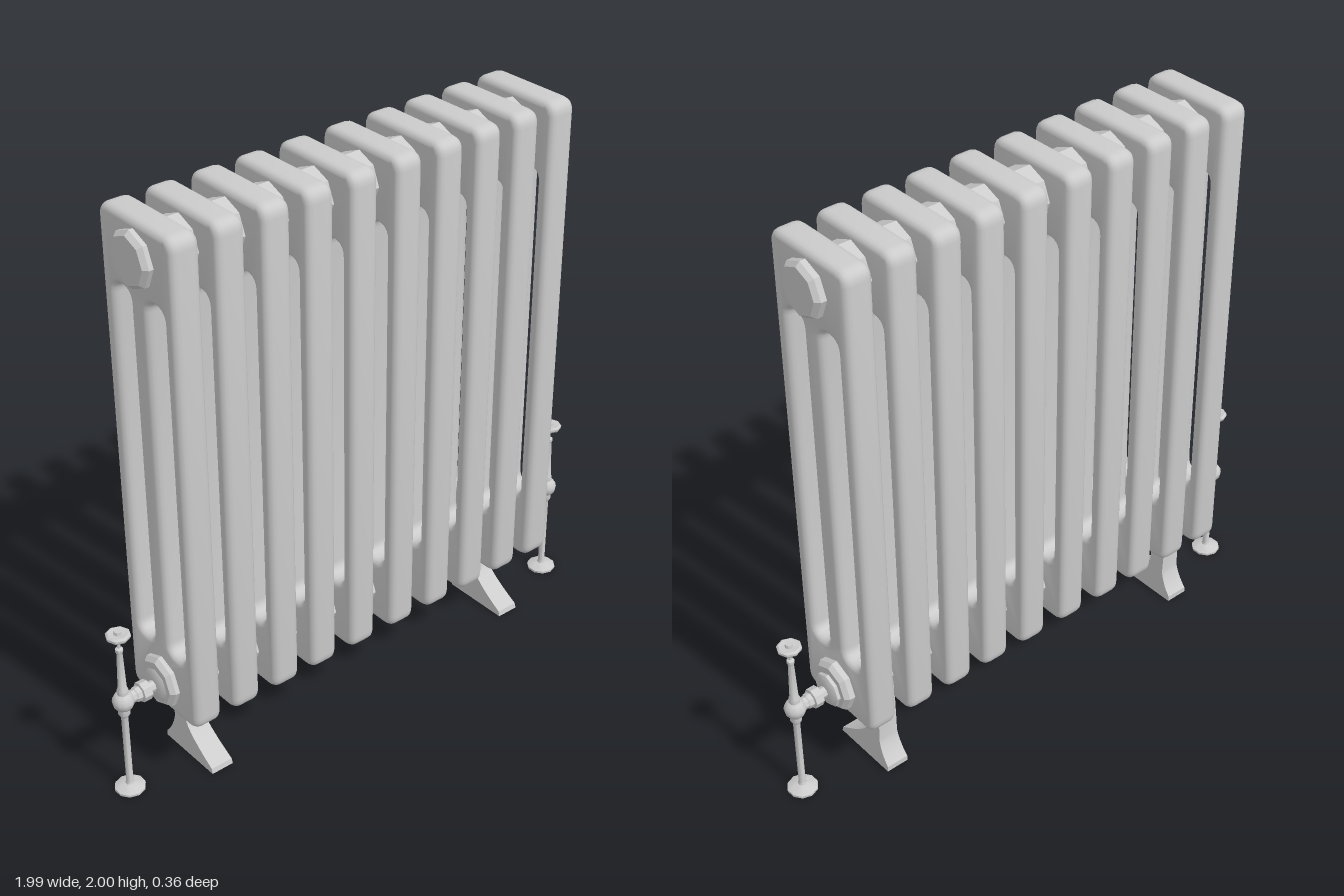
import * as THREE from 'three';
import { toCreasedNormals } from 'three/addons/utils/BufferGeometryUtils.js';

const material = new THREE.MeshStandardMaterial({ color: 0xcccccc });
const v2 = ([x, y]) => new THREE.Vector2(x, y);

function part(name, geometry, crease = 0.6) {
  const mesh = new THREE.Mesh(toCreasedNormals(geometry, crease), material);
  mesh.name = name;
  return mesh;
}

// Turned part around y; the profile is [radius, height] pairs from bottom to top.
function turned(name, profile, sides, crease) {
  return part(name, new THREE.LatheGeometry(profile.map(v2), sides), crease);
}

// Rounded rectangle traced into a Shape or Path.
function roundedRect(path, x0, y0, x1, y1, r) {
  path.moveTo(x0 + r, y0);
  path.lineTo(x1 - r, y0);
  path.quadraticCurveTo(x1, y0, x1, y0 + r);
  path.lineTo(x1, y1 - r);
  path.quadraticCurveTo(x1, y1, x1 - r, y1);
  path.lineTo(x0 + r, y1);
  path.quadraticCurveTo(x0, y1, x0, y1 - r);
  path.lineTo(x0, y0 + r);
  path.quadraticCurveTo(x0, y0, x0 + r, y0);
  return path;
}

// Three-column section: rounded plate with two long slots and soft edges.
function sectionGeometry() {
  const shape = roundedRect(new THREE.Shape(), -0.178, 0.26, 0.178, 2, 0.045);
  for (const z of [-0.082, 0.082]) {
    shape.holes.push(roundedRect(new THREE.Path(), z - 0.04, 0.5, z + 0.04, 1.76, 0.038));
  }
  const geo = new THREE.ExtrudeGeometry(shape, {
    depth: 0.05, bevelEnabled: true, bevelThickness: 0.025, bevelSize: 0.02,
    bevelOffset: -0.02, bevelSegments: 3, curveSegments: 5,
  });
  return geo.translate(0, 0, -0.025).rotateY(-Math.PI / 2);
}

// Cast foot: slim leg with a saddle on top and a flared toe.
function footGeometry() {
  const shape = new THREE.Shape();
  shape.moveTo(-0.13, 0);
  shape.lineTo(0.125, 0);
  shape.lineTo(0.12, 0.018);
  shape.quadraticCurveTo(0, 0.085, -0.022, 0.13);
  shape.lineTo(-0.022, 0.22);
  shape.quadraticCurveTo(-0.015, 0.27, 0.04, 0.31);
  shape.lineTo(-0.09, 0.34);
  shape.lineTo(-0.085, 0.11);
  shape.quadraticCurveTo(-0.095, 0.06, -0.13, 0.02);
  const geo = new THREE.ExtrudeGeometry(shape, { depth: 0.08, bevelEnabled: false, curveSegments: 6 });
  geo.translate(0, 0, -0.04).rotateY(-Math.PI / 2);
  // The leg narrows slightly towards the top.
  const p = geo.attributes.position;
  for (let i = 0; i < p.count; i++) {
    p.setX(i, p.getX(i) * (1.04 - 0.25 * Math.min(1, p.getY(i) / 0.25)));
  }
  geo.computeVertexNormals();
  return geo;
}

// Valve on its pipe, with the coupling reaching towards -x.
function valve(name) {
  const group = new THREE.Group();
  group.name = name;
  group.add(turned('floorPipe', [
    [0, 0], [0.052, 0], [0.052, 0.008], [0.03, 0.018], [0.015, 0.022], [0.012, 0.03],
    [0.012, 0.3], [0.02, 0.315], [0.02, 0.335], [0, 0.335],
  ], 10, 0.7));
  group.add(turned('valveStem', [
    [0, 0.385], [0.019, 0.385], [0.019, 0.41], [0.015, 0.42], [0.01, 0.56],
    [0.013, 0.565], [0.013, 0.575], [0.005, 0.58], [0.005, 0.615], [0, 0.615],
  ], 10, 0.7));
  group.add(turned('handwheel', [
    [0, 0.612], [0.015, 0.612], [0.036, 0.618], [0.041, 0.625], [0.041, 0.632],
    [0.034, 0.637], [0.014, 0.634], [0.012, 0.645], [0, 0.645],
  ], 8, 0.5));
  const body = part('valveBody', new THREE.SphereGeometry(0.037, 10, 8), 0.7);
  body.position.y = 0.365;
  group.add(body);
  const coupling = turned('coupling', [
    [0, 0], [0.022, 0], [0.022, 0.04], [0.026, 0.045], [0.026, 0.06], [0.035, 0.062],
    [0.035, 0.092], [0.02, 0.096], [0.02, 0.115], [0.048, 0.118], [0.06, 0.125],
    [0.06, 0.15], [0, 0.15],
  ], 8, 0.5);
  coupling.rotation.z = Math.PI / 2;
  coupling.position.y = 0.365;
  group.add(coupling);
  return group;
}

export function createModel() {
  const model = new THREE.Group();
  model.name = 'columnRadiator';

  // Row of column sections, spaced slightly unevenly.
  const section = sectionGeometry();
  const centres = [-0.74, -0.585, -0.422, -0.263, -0.095, 0.08, 0.246, 0.405, 0.565, 0.72];
  centres.forEach((x, i) => {
    const mesh = part('columnSection' + (i + 1), section, 0.7);
    mesh.position.x = x;
    model.add(mesh);
  });

  // Octagonal header pipes joining the sections at top and bottom.
  for (const [name, y] of [['upperHeader', 1.883], ['lowerHeader', 0.372]]) {
    const header = turned(name, [
      [0, -0.82], [0.078, -0.82], [0.092, -0.805], [0.092, 0.79], [0.078, 0.805], [0, 0.805],
    ], 8, 0.2);
    header.rotation.z = -Math.PI / 2;
    header.position.y = y;
    model.add(header);
  }

  // Feet between the outer pairs of sections.
  for (const [name, x] of [['rightFoot', -0.662], ['leftFoot', 0.645]]) {
    const foot = part(name, footGeometry());
    foot.position.x = x;
    model.add(foot);
  }

  // Valves at both ends.
  const leftValve = valve('leftValve');
  leftValve.position.x = 0.942;
  const rightValve = valve('rightValve');
  rightValve.position.x = -0.945;
  rightValve.rotation.y = Math.PI;
  model.add(leftValve, rightValve);

  return model;
}
